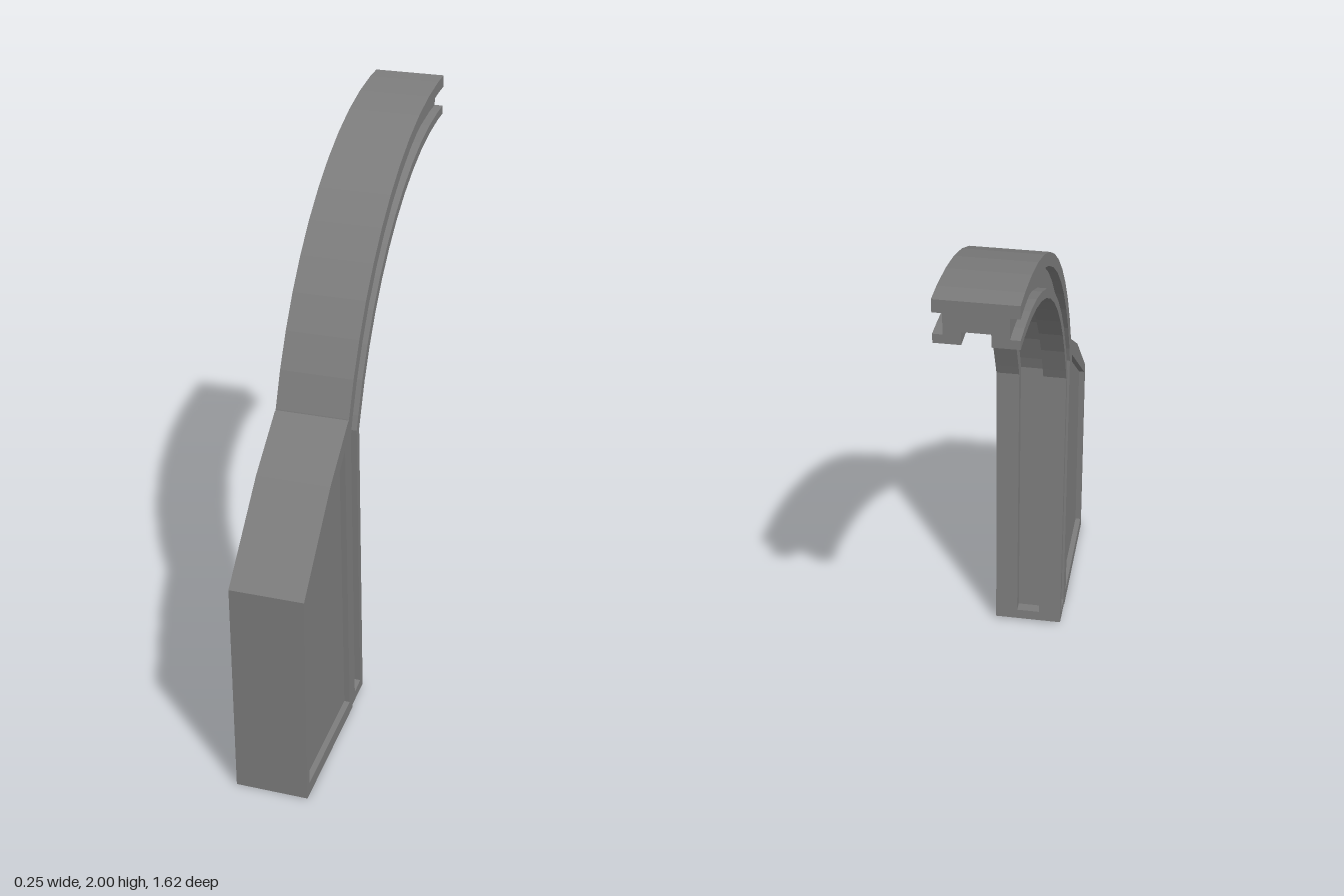
import * as THREE from 'three';

const HALF = 0.125; // half the width in x
const material = new THREE.MeshStandardMaterial({ color: 0x7c7c7c, flatShading: true });

function addMesh(group, name, geometry) {
  const mesh = new THREE.Mesh(geometry, material);
  mesh.name = name;
  group.add(mesh);
}

// Side outline given as [z, y] points
const outline = (points) => points.map(([z, y]) => new THREE.Vector2(z, y));

// Extrude a side outline across x, centred on x = 0
function extrudeAcross(points, width, hole) {
  const shape = new THREE.Shape(outline(points));
  if (hole) shape.holes.push(new THREE.Path(outline(hole)));
  const geometry = new THREE.ExtrudeGeometry(shape, { depth: width, bevelEnabled: false });
  return geometry.translate(0, 0, -width / 2).rotateY(-Math.PI / 2);
}

// Loft a section of [x, t] through rows {outer, inner}; t runs from outer (0) to inner (1)
function loft(section, rows) {
  const positions = [];
  const index = [];
  const n = section.length;
  for (const { outer, inner } of rows) {
    for (const [x, t] of section) {
      positions.push(x, THREE.MathUtils.lerp(outer[1], inner[1], t), THREE.MathUtils.lerp(outer[0], inner[0], t));
    }
  }
  for (let r = 0; r < rows.length - 1; r++) {
    for (let j = 0; j < n; j++) {
      const a = r * n + j;
      const b = r * n + ((j + 1) % n);
      index.push(a, b, b + n, a, b + n, a + n);
    }
  }
  // End caps
  const last = (rows.length - 1) * n;
  for (const [a, b, c] of THREE.ShapeUtils.triangulateShape(outline(section), [])) {
    index.push(a, c, b, a + last, b + last, c + last);
  }
  const geometry = new THREE.BufferGeometry();
  geometry.setAttribute('position', new THREE.Float32BufferAttribute(positions, 3));
  geometry.setIndex(index);
  const flat = geometry.toNonIndexed();
  flat.computeVertexNormals();
  return flat;
}

export function createModel() {
  const group = new THREE.Group();

  // Curved rib: grooved on both sides and along the inner face
  const halfSection = [
    [HALF, 0], [HALF, 0.3], [0.095, 0.3], [0.095, 0.79],
    [HALF, 0.79], [HALF, 1], [0.043, 1], [0.043, 0.7],
  ];
  const grooved = [...halfSection, ...halfSection.map(([x, t]) => [-x, t]).reverse()];
  const foot = { outer: [0.302, 0.012], inner: [0.165, 0.014] };
  const footTop = { outer: [0.304, 0.044], inner: [0.167, 0.054] };
  const rows = [footTop, { outer: [0.36, 1.12], inner: [0.225, 1.1] }];
  const steps = 11;
  const centre = [-0.81, 0.777];
  const arcPoint = (radius, angle) => [
    centre[0] + radius * Math.sin(angle),
    centre[1] + radius * Math.cos(angle),
  ];
  for (let i = steps; i >= 0; i--) {
    const angle = 0.065 + (1.161 * i) / steps;
    rows.push({ outer: arcPoint(1.223, angle), inner: arcPoint(1.082, angle) });
  }
  rows.push({ outer: [-0.81, 2], inner: [-0.81, 1.859] });
  addMesh(group, 'archRib', loft(grooved, rows));

  // Solid foot closing the grooves
  const plain = [[-HALF, 0], [HALF, 0], [HALF, 1], [-HALF, 1]];
  addMesh(group, 'ribFoot', loft(plain, [foot, footTop]));

  // Buttress: a raised frame around recessed side panels
  const frame = [[0.29, 0], [0.805, 0], [0.815, 0.785], [0.54, 1.05], [0.352, 1.185], [0.341, 1.187], [0.35, 1.1]];
  const panel = [[0.325, 0.048], [0.78, 0.048], [0.786, 0.77], [0.383, 1.1]];
  addMesh(group, 'buttressFrame', extrudeAcross(frame, HALF * 2, panel));
  addMesh(group, 'buttressPanel', extrudeAcross(panel, HALF * 2 - 0.04));

  return group;
}
